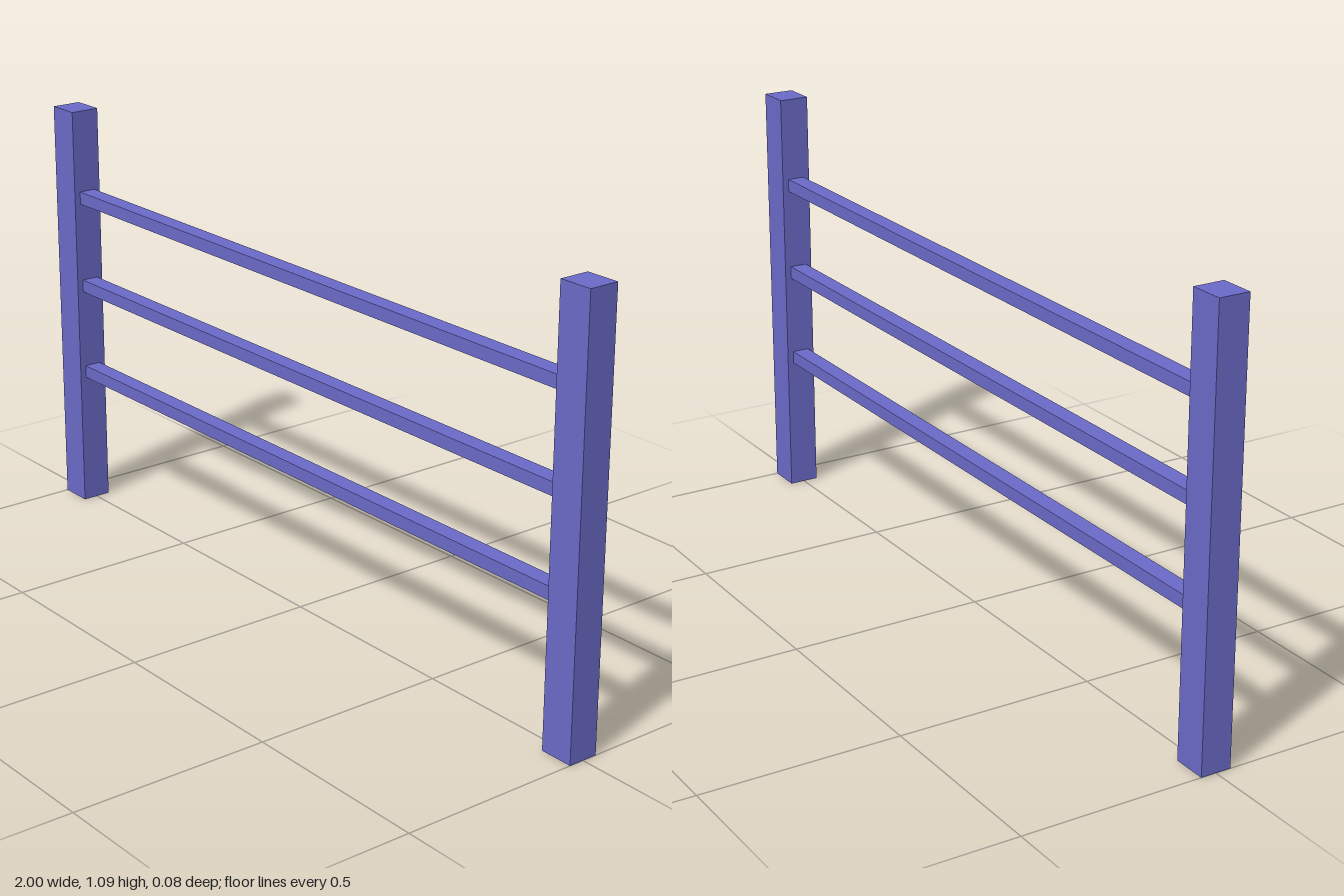
import * as THREE from 'three';

export function createModel() {
  const group = new THREE.Group();
  const paint = new THREE.MeshStandardMaterial({ color: 0x6a6ac8 });
  paint.name = 'periwinkle blue';

  const postWidth = 0.088, postHeight = 1.09, postDepth = 0.078;
  const railHeight = 0.033, railDepth = 0.045;

  const addBox = (name, size, position) => {
    const mesh = new THREE.Mesh(new THREE.BoxGeometry(...size), paint);
    mesh.name = name;
    mesh.position.set(...position);
    group.add(mesh);
  };

  // Upright posts at both ends
  for (const [name, side] of [['leftPost', 1], ['rightPost', -1]]) {
    addBox(name, [postWidth, postHeight, postDepth],
      [side * (1 - postWidth / 2), postHeight / 2, 0]);
  }

  // Horizontal rails between the inner faces of the posts
  for (const [name, y] of [['lowerRail', 0.371], ['middleRail', 0.614], ['upperRail', 0.857]]) {
    addBox(name, [2 - 2 * postWidth, railHeight, railDepth], [0, y, 0]);
  }

  return group;
}
